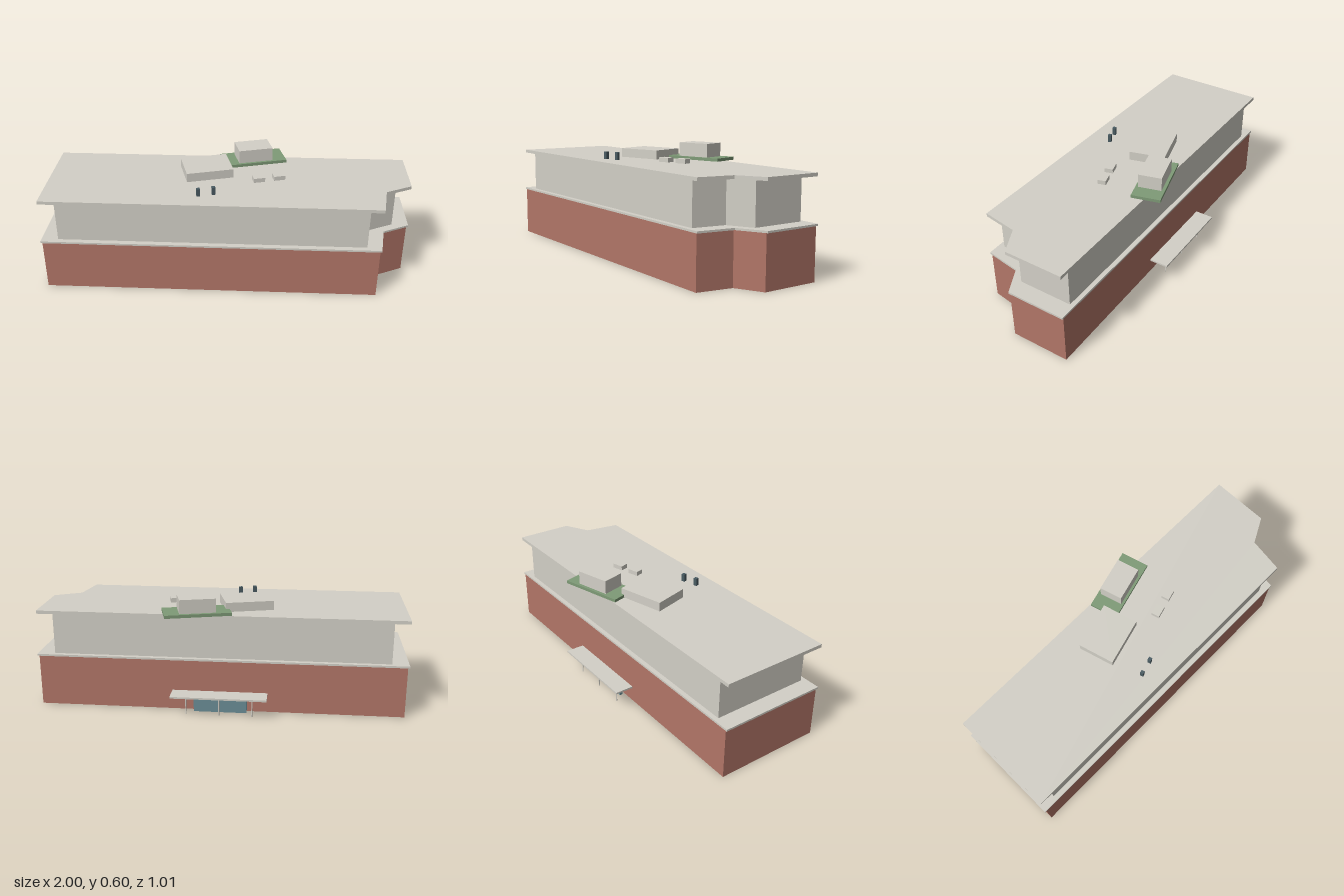
import * as THREE from 'three';

const mat = (color) => new THREE.MeshStandardMaterial({ color, flatShading: true });

// Plan outline of the building as x, z corners
const OUTLINE = [
  [-0.84, -0.5], [0.988, 0], [0.908, 0.296], [0.757, 0.328], [0.679, 0.5], [-0.99, 0.04],
];

export function createModel() {
  const model = new THREE.Group();
  const brick = mat(0xb27668);
  const stone = mat(0xd3d0c7);
  const green = mat(0x7f9b77);
  const slate = mat(0x4a5c63);
  const glass = mat(0x6a8d95);

  // Storey or slab: the scaled outline extruded from y0 to y1
  const slab = (name, scale, y0, y1, material) => {
    const shape = new THREE.Shape(OUTLINE.map(([x, z]) => new THREE.Vector2(x * scale, -z * scale)));
    const geo = new THREE.ExtrudeGeometry(shape, { depth: y1 - y0, bevelEnabled: false });
    geo.rotateX(-Math.PI / 2).translate(0, y0, 0);
    const mesh = new THREE.Mesh(geo, material);
    mesh.name = name;
    model.add(mesh);
  };

  // Box given by its limits
  const box = (parent, name, [x0, x1], [y0, y1], [z0, z1], material) => {
    const mesh = new THREE.Mesh(new THREE.BoxGeometry(x1 - x0, y1 - y0, z1 - z0), material);
    mesh.position.set((x0 + x1) / 2, (y0 + y1) / 2, (z0 + z1) / 2);
    mesh.name = name;
    parent.add(mesh);
  };

  slab('lowerStorey', 1, 0, 0.267, brick);
  slab('ledge', 1.01, 0.267, 0.277, stone);
  slab('upperStorey', 0.918, 0.277, 0.495, stone);
  slab('roof', 1, 0.495, 0.512, stone);

  // Rooftop housings, planted deck and small units
  const top = 0.512;
  box(model, 'roofHousing', [-0.22, 0.03], [top, 0.56], [-0.19, 0], stone);
  box(model, 'greenDeck', [0.012, 0.352], [top, 0.528], [-0.26, -0.11], green);
  box(model, 'tallHousing', [0.09, 0.275], [0.528, 0.6], [-0.244, -0.123], stone);
  for (const x of [0.15, 0.259]) {
    box(model, 'roofUnit', [x - 0.03, x + 0.03], [top, 0.535], [0.04, 0.084], stone);
  }
  for (const x of [-0.19, -0.111]) {
    box(model, 'ventPipe', [x - 0.009, x + 0.009], [top, 0.553], [0.146, 0.164], slate);
  }

  // Back entrance, turned to run along the slanted wall
  const entrance = new THREE.Group();
  entrance.name = 'entrance';
  entrance.position.set(0.09, 0, -0.318);
  entrance.rotation.y = -Math.atan2(0.5, 1.828);
  model.add(entrance);
  box(entrance, 'canopy', [-0.246, 0.246], [0.103, 0.112], [-0.049, 0.049], stone);
  box(entrance, 'glassDoors', [-0.14, 0.135], [0, 0.093], [0.041, 0.056], glass);
  for (const x of [-0.17, 0, 0.17]) {
    const post = new THREE.Mesh(new THREE.CylinderGeometry(0.003, 0.003, 0.103, 8), stone);
    post.name = 'canopyPost';
    post.position.set(x, 0.0515, 0);
    entrance.add(post);
  }

  return model;
}
